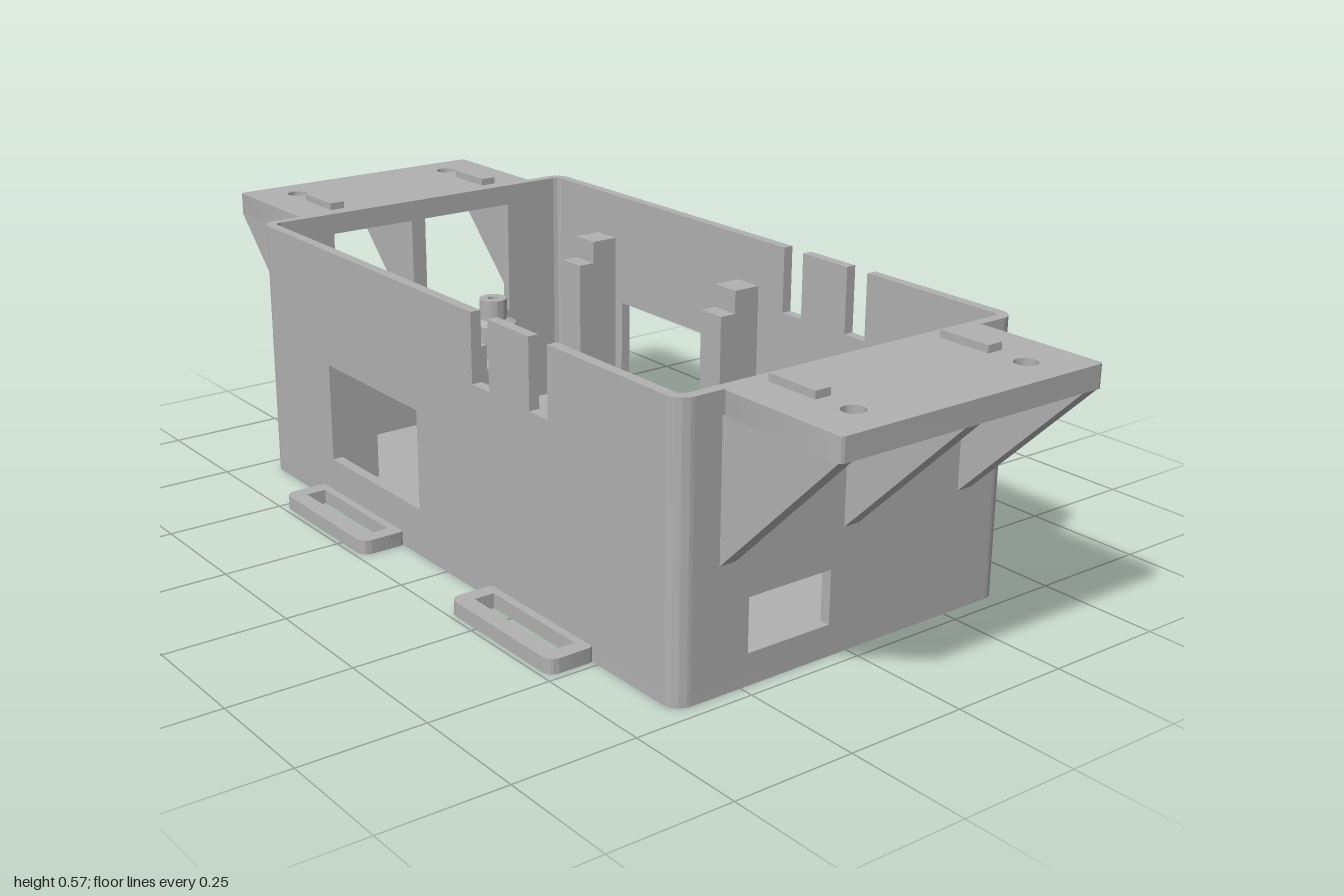
import * as THREE from 'three';
import { toCreasedNormals } from 'three/addons/utils/BufferGeometryUtils.js';

const X = 0.72, Z = 0.395, H = 0.56, T = 0.022, R = 0.035, FLOOR = 0.025;

// Rounded rectangle traced on a Shape or Path; r = 0 gives square corners
function rect(x0, x1, y0, y1, r = 0, Type = THREE.Path) {
  const p = new Type();
  if (!r) {
    p.moveTo(x0, y0); p.lineTo(x1, y0); p.lineTo(x1, y1); p.lineTo(x0, y1);
  } else {
    p.moveTo(x0 + r, y0);
    p.lineTo(x1 - r, y0); p.absarc(x1 - r, y0 + r, r, -Math.PI / 2, 0);
    p.lineTo(x1, y1 - r); p.absarc(x1 - r, y1 - r, r, 0, Math.PI / 2);
    p.lineTo(x0 + r, y1); p.absarc(x0 + r, y1 - r, r, Math.PI / 2, Math.PI);
    p.lineTo(x0, y0 + r); p.absarc(x0 + r, y0 + r, r, Math.PI, Math.PI * 1.5);
  }
  p.closePath();
  return p;
}
const polygon = (pts) => new THREE.Shape(pts.map(([x, y]) => new THREE.Vector2(x, y)));

export function createModel() {
  const model = new THREE.Group();
  model.name = 'mountingTray';
  const grey = new THREE.MeshStandardMaterial({ color: 0xb0b0b0 });
  grey.name = 'plasticGrey';

  const add = (name, geo) => {
    const mesh = new THREE.Mesh(geo, grey);
    mesh.name = name;
    model.add(mesh);
    return mesh;
  };
  const extrude = (shape, depth) => toCreasedNormals(
    new THREE.ExtrudeGeometry(shape, { depth, bevelEnabled: false, curveSegments: 8 }), 0.6);
  // Horizontal plate: shape coordinates are (x, -z)
  const slab = (name, shape, y, h) =>
    add(name, extrude(shape, h).rotateX(-Math.PI / 2).translate(0, y, 0));
  const box = (name, x0, x1, y0, y1, z0, z1) =>
    add(name, new THREE.BoxGeometry(x1 - x0, y1 - y0, z1 - z0)
      .translate((x0 + x1) / 2, (y0 + y1) / 2, (z0 + z1) / 2));

  // Floor with a large rounded opening and four strap slots
  const floor = rect(-X, X, -Z, Z, R, THREE.Shape);
  floor.holes.push(rect(-0.33, -0.07, -0.26, 0.26, 0.05));
  for (const x of [0.297, 0.577]) for (const z of [-0.168, 0.32]) {
    floor.holes.push(rect(x - 0.033, x + 0.033, -z - 0.012, -z + 0.012));
  }
  slab('floor', floor, 0, FLOOR);

  // Long walls: two cable notches in the rim and one window
  const long = polygon([
    [-X + R, FLOOR], [X - R, FLOOR], [X - R, H],
    [0.352, H], [0.352, 0.42], [0.295, 0.42], [0.295, H],
    [0.165, H], [0.165, 0.42], [0.108, 0.42], [0.108, H], [-X + R, H],
  ]);
  long.holes.push(rect(-0.445, -0.097, 0.1, 0.31));
  add('frontWall', extrude(long, T).translate(0, 0, Z - T));
  add('backWall', extrude(long, T).translate(0, 0, -Z));

  // End walls: shape coordinates are (-z, y)
  for (const side of [1, -1]) {
    const end = rect(-Z + R, Z - R, FLOOR, H, 0, THREE.Shape);
    end.holes.push(side > 0
      ? rect(-0.235, -0.045, 0.063, 0.17)
      : rect(-0.23, 0.23, 0.26, 0.515));
    add(side > 0 ? 'leftEndWall' : 'rightEndWall',
      extrude(end, T).rotateY(Math.PI / 2).translate(side > 0 ? X - T : -X, 0, 0));
  }

  // Rounded wall corners
  [[1, 1], [-1, 1], [-1, -1], [1, -1]].forEach(([sx, sy], i) => {
    const a = i * Math.PI / 2, cx = sx * (X - R), cy = sy * (Z - R);
    const corner = new THREE.Shape();
    corner.absarc(cx, cy, R, a, a + Math.PI / 2, false);
    corner.absarc(cx, cy, R - T, a + Math.PI / 2, a, true);
    corner.closePath();
    slab('wallCorner', corner, FLOOR, H - FLOOR);
  });

  // End flanges with screw holes, locating bars and triangular ribs
  for (const s of [1, -1]) {
    const inner = s * X, outer = s;
    const flange = rect(Math.min(inner, outer), Math.max(inner, outer), -0.302, 0.302, 0.008, THREE.Shape);
    for (const z of [-0.2, 0.2]) {
      const hole = new THREE.Path();
      hole.absarc(s * 0.918, z, 0.022, 0, Math.PI * 2);
      flange.holes.push(hole);
      box('locatingBar', s * 0.79 - 0.057, s * 0.79 + 0.057, H - 0.005, 0.575, z - 0.017, z + 0.017);
    }
    slab('flange', flange, 0.515, H - 0.515);
    for (const z of [-0.285, 0, 0.285]) {
      const rib = polygon([[inner, 0.245], [s * 0.995, 0.515], [inner, 0.515]]);
      add('flangeRib', extrude(rib, 0.035).translate(0, 0, z - 0.0175));
    }
  }

  // Strap loops along both long sides
  for (const x of [-0.327, 0.323]) for (const s of [1, -1]) {
    const za = s > 0 ? Z - 0.01 : -0.49, zb = s > 0 ? 0.49 : -Z + 0.01;
    const loop = rect(x - 0.163, x + 0.163, za, zb, 0.022, THREE.Shape);
    const ha = s > 0 ? 0.412 : -0.455, hb = s > 0 ? 0.455 : -0.412;
    loop.holes.push(rect(x - 0.13, x + 0.13, ha, hb));
    slab('strapLoop', loop, 0, 0.03);
  }

  // Stepped support pillars against the long walls
  const wall = Z - T;
  for (const x of [-0.503, -0.003]) for (const s of [1, -1]) {
    const pillar = (y1, d0, d1) => box('supportPillar', x - 0.033, x + 0.033, FLOOR, y1,
      Math.min(s * d0, s * d1), Math.max(s * d0, s * d1));
    pillar(0.46, 0.31, wall);
    pillar(0.41, 0.272, 0.31);
  }

  // Narrow clip posts on the back wall
  for (const [x, side] of [[0.348, 1], [0.668, -1]]) {
    box('clipPost', x - 0.022, x + 0.022, FLOOR, 0.36, -wall, -0.262);
    const px = x + side * 0.012;
    box('clipPin', px - 0.01, px + 0.01, 0.36, 0.395, -0.32, -0.295);
  }

  // Turned post with flared foot, shoulder and hollow tip
  const profile = [
    [0.082, FLOOR], [0.082, 0.035], [0.05, 0.095], [0.05, 0.335],
    [0.03, 0.345], [0.03, 0.39], [0.012, 0.39], [0.012, 0.35], [0, 0.35],
  ].map(([r, y]) => new THREE.Vector2(r, y));
  add('centrePost', toCreasedNormals(new THREE.LatheGeometry(profile, 32), 0.4)
    .translate(-0.43, 0, -0.008));

  return model;
}
